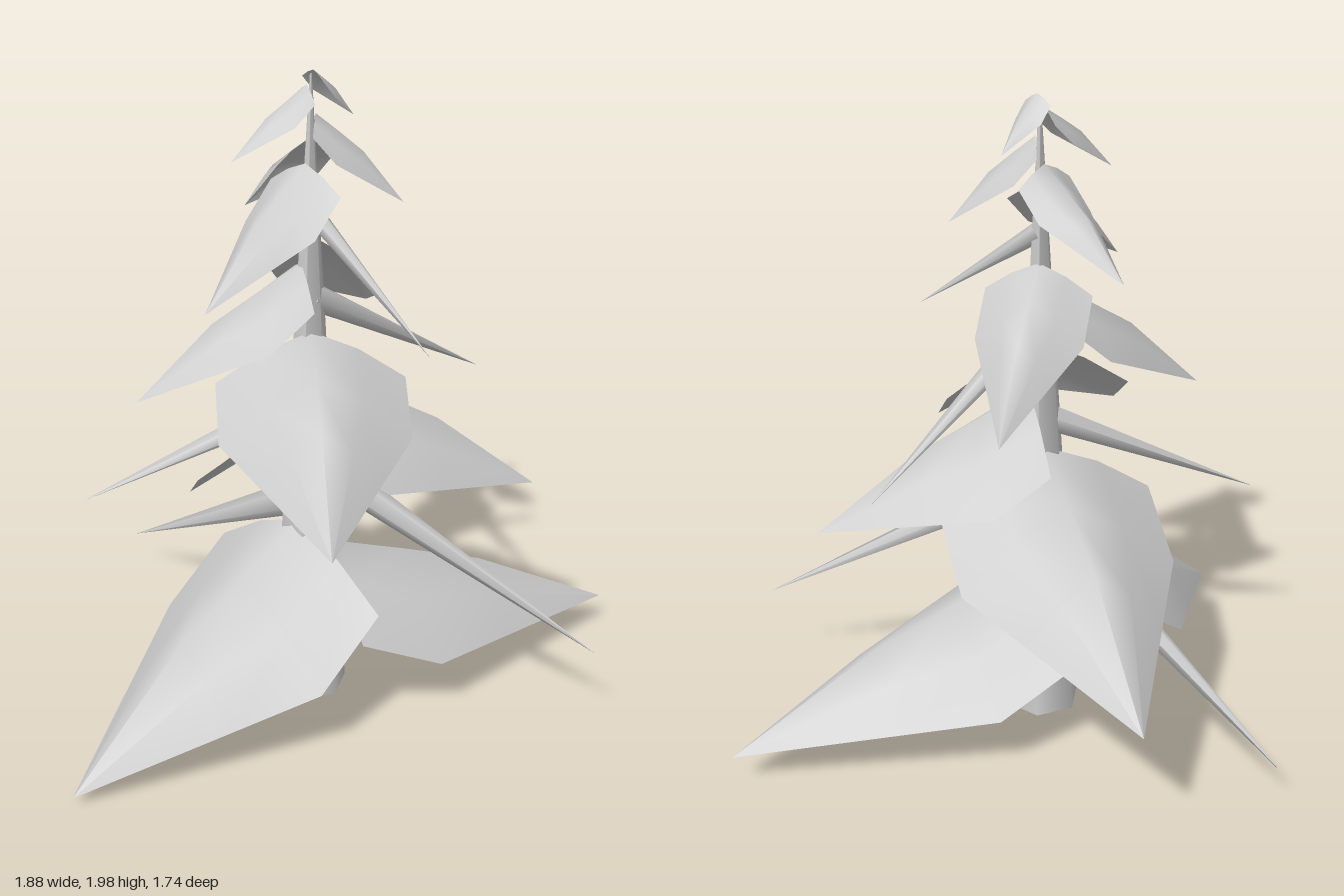
import * as THREE from 'three';

const TRUNK_Z = 0.06, TRUNK_R = 0.12, HEIGHT = 1.97;
const trunkRadius = (y) => TRUNK_R * (1 - y / HEIGHT);

// A drooping sheet of foliage: broad at the trunk, arched across, pointed at the tip.
function foliageGeometry(rootY, tip, halfWidth) {
  const root = new THREE.Vector3(0, rootY, TRUNK_Z);
  const out = new THREE.Vector3(tip.x, 0, tip.z - TRUNK_Z);
  const length = out.length();
  out.normalize();
  const side = new THREE.Vector3(-out.z, 0, out.x);
  const drop = rootY - tip.y;
  const curl = 0.55 * halfWidth;
  // Stations: distance along, width, ridge fall, edge fall
  const edge2 = curl + 0.3 * drop;
  const k = (0.56 - 0.3) / 0.7;
  const stations = [
    [0.05, 1, 0, curl],
    [0.3, 1, 0.2 * drop, edge2],
    [0.56, 1 - k, 0.42 * drop, edge2 + (drop - edge2) * k],
    [1, 0, drop, drop],
  ];
  const columns = [-1, -0.5, 0, 0.5, 1];
  const positions = [], index = [];
  stations.forEach(([t, w, ridge, edge], row) => {
    for (const s of columns) {
      const a = Math.abs(s);
      const arch = 0.6 * a + 0.4 * a * a * a * a - (a === 0.5 ? 0.0 : 0) ;
      const p = root.clone()
        .addScaledVector(out, t * length)
        .addScaledVector(side, s * w * halfWidth);
      p.y -= ridge + (edge - ridge) * (a === 1 ? 1 : arch * 1.2);
      positions.push(p.x, p.y, p.z);
    }
    if (row === stations.length - 1) return;
    for (let c = 0; c < 4; c++) {
      const i = row * 5 + c, j = i + 5;
      index.push(i, i + 1, j);
      if (row < 2) index.push(i + 1, j + 1, j);
      else index.push(i + 1, j + 1, j);
    }
  });
  const g = new THREE.BufferGeometry();
  g.setAttribute('position', new THREE.Float32BufferAttribute(positions, 3));
  g.setIndex(index);
  g.computeVertexNormals();
  return g;
}

// A tapered bare branch from the trunk axis to its tip.
function branchGeometry(rootY, tip, radius) {
  const root = new THREE.Vector3(0, rootY, TRUNK_Z);
  const dir = tip.clone().sub(root);
  const g = new THREE.CylinderGeometry(0, radius, dir.length(), 6, 1);
  g.translate(0, dir.length() / 2, 0);
  g.applyQuaternion(new THREE.Quaternion().setFromUnitVectors(
    new THREE.Vector3(0, 1, 0), dir.normalize()));
  g.translate(root.x, root.y, root.z);
  return g;
}

export function createModel() {
  const tree = new THREE.Group();
  tree.name = 'coniferTree';
  const material = new THREE.MeshStandardMaterial({ color: 0xcccccc });
  const sheet = new THREE.MeshStandardMaterial({ color: 0xcccccc, side: THREE.DoubleSide });

  const add = (name, geometry, mat) => {
    const mesh = new THREE.Mesh(geometry, mat);
    mesh.name = name;
    tree.add(mesh);
    return mesh;
  };

  // Trunk: six sides, tapering to the top
  add('trunk', new THREE.CylinderGeometry(trunkRadius(HEIGHT - 0.05), TRUNK_R, HEIGHT, 6), material)
    .position.set(0, HEIGHT / 2, TRUNK_Z);

  // Foliage, bottom to top: root height, tip x, y, z, half width
  const foliage = [
    [0.50, 0.94, 0.10, 0.50, 0.335],
    [0.60, -0.94, 0.03, 0.05, 0.345],
    [0.91, 0.48, 0.40, -0.66, 0.335],
    [1.08, 0.53, 0.68, 0.50, 0.28],
    [1.22, -0.43, 0.82, 0.58, 0.28],
    [1.42, -0.44, 1.03, -0.21, 0.165],
    [1.49, 0.46, 1.12, -0.15, 0.16],
    [1.72, -0.43, 1.39, 0.09, 0.13],
    [1.78, 0.05, 1.50, -0.27, 0.10],
    [1.86, 0.17, 1.61, 0.26, 0.085],
    [1.94, -0.21, 1.74, -0.04, 0.07],
    [1.98, 0.15, 1.83, 0.08, 0.05],
  ];
  foliage.forEach(([y, tx, ty, tz, w], i) =>
    add(`foliage${i + 1}`, foliageGeometry(y, new THREE.Vector3(tx, ty, tz), w), sheet));

  // Bare branches: root height, tip x, y, z, base radius
  const branches = [
    [0.67, 0.06, 0.13, -0.87, 0.058],
    [0.80, 0.40, 0.29, 0.87, 0.055],
    [1.00, -0.53, 0.68, -0.37, 0.046],
    [1.32, 0.65, 0.93, 0.16, 0.043],
    [1.58, 0.01, 1.26, 0.52, 0.03],
  ];
  branches.forEach(([y, tx, ty, tz, r], i) =>
    add(`branch${i + 1}`, branchGeometry(y, new THREE.Vector3(tx, ty, tz), r), material));

  return tree;
}
